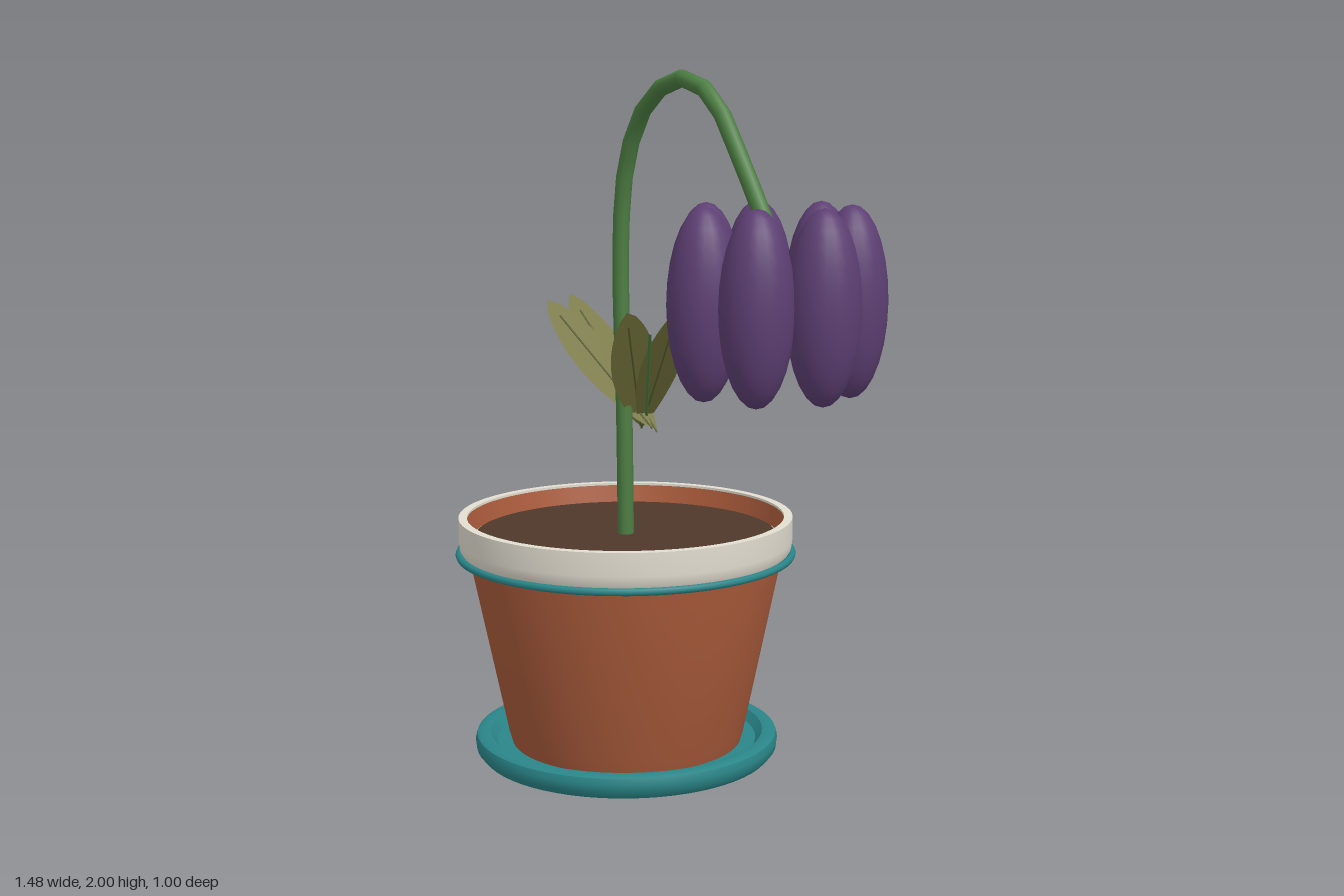
import * as THREE from 'three';
import { toCreasedNormals } from 'three/addons/utils/BufferGeometryUtils.js';

const POT_X = -0.245;
const mat = (color, side = THREE.FrontSide) => new THREE.MeshStandardMaterial({ color, side });
const V = (x, y, z) => new THREE.Vector3(x, y, z);

const teal = mat(0x2a8588);
const clay = mat(0xa85a3a);
const cream = mat(0xe2ddd0);
const soilMat = mat(0x4f382b);
const stemMat = mat(0x4c7d42);
const leafMat = mat(0x77773f, THREE.DoubleSide);
const veinMat = mat(0x55602f);
const petalMat = mat(0x5d3f73);

function add(parent, name, geometry, material) {
  const mesh = new THREE.Mesh(geometry, material);
  mesh.name = name;
  parent.add(mesh);
  return mesh;
}

// Turned part from [radius, y] pairs, with sharp edges kept
function turned(profile) {
  const pts = profile.map(([r, y]) => new THREE.Vector2(r, y));
  return toCreasedNormals(new THREE.LatheGeometry(pts, 64), 0.7);
}

// Egg-shaped blade from base to tip, widest past the middle
function blade(base, tip, halfWidth) {
  const along = tip.clone().sub(base);
  const dir = along.clone().normalize();
  const across = V(0, 0, 1).addScaledVector(dir, -dir.z).normalize();
  const geo = new THREE.PlaneGeometry(2, 1, 4, 18);
  const pos = geo.attributes.position;
  for (let i = 0; i < pos.count; i++) {
    const t = pos.getY(i) + 0.5;
    const w = halfWidth * Math.sin(Math.PI * Math.pow(t, 1.2)) ** 0.65 || 0;
    const p = base.clone().addScaledVector(along, t).addScaledVector(across, pos.getX(i) * w);
    pos.setXYZ(i, p.x, p.y, p.z);
  }
  geo.computeVertexNormals();
  return geo;
}

const rod = (a, b, r) => new THREE.TubeGeometry(new THREE.LineCurve3(a, b), 1, r, 6);

export function createModel() {
  const model = new THREE.Group();
  model.name = 'pottedFlower';

  // Pot, saucer, rim and soil share one axis
  const pot = new THREE.Group();
  pot.name = 'pot';
  pot.position.x = POT_X;
  model.add(pot);

  add(pot, 'saucer', turned([
    [0, 0], [0.43, 0], [0.447, 0.02], [0.45, 0.045], [0.445, 0.062], [0.43, 0.07],
    [0.405, 0.066], [0.385, 0.04], [0, 0.035],
  ]), teal);
  add(pot, 'potBody', turned([
    [0, 0.036], [0.34, 0.036], [0.35, 0.07], [0.46, 0.6], [0.466, 0.714], [0.45, 0.65],
  ]), clay);
  add(pot, 'rim', turned([
    [0.455, 0.602], [0.475, 0.606], [0.487, 0.625], [0.49, 0.65], [0.49, 0.717],
    [0.465, 0.717], [0.465, 0.7],
  ]), cream);
  add(pot, 'innerRing', turned([[0.453, 0.655], [0.44, 0.658]]), cream);
  const band = add(pot, 'rimBand', new THREE.TorusGeometry(0.489, 0.011, 8, 64), teal);
  band.rotation.x = Math.PI / 2;
  band.position.y = 0.608;
  const soil = add(pot, 'soil', new THREE.CylinderGeometry(0.443, 0.43, 0.06, 64), soilMat);
  soil.position.y = 0.631;

  // Arching stem
  const path = [
    [-0.245, 0.64], [-0.25, 1.0], [-0.265, 1.5], [-0.24, 1.72], [-0.18, 1.855], [-0.1, 1.935],
    [0.01, 1.977], [0.09, 1.972], [0.19, 1.91], [0.29, 1.775], [0.38, 1.64], [0.45, 1.53],
  ].map(([x, y]) => V(x, y, 0));
  const stemGeo = new THREE.TubeGeometry(new THREE.CatmullRomCurve3(path), 20, 0.024, 10);
  add(model, 'stem', stemGeo, stemMat);
  const end = add(model, 'stemTip', new THREE.SphereGeometry(0.024, 10, 8), stemMat);
  end.position.copy(path[path.length - 1]);

  // Hanging flower: a ring of seven long petals
  const flower = new THREE.Group();
  flower.name = 'flower';
  flower.position.set(0.44, 1.405, 0);
  model.add(flower);
  for (let i = 0; i < 7; i++) {
    const a = (i / 7) * Math.PI * 2;
    const petal = add(flower, 'petal', new THREE.SphereGeometry(1, 20, 14), petalMat);
    petal.scale.set(0.097, 0.253, 0.097);
    petal.position.set(0.2 * Math.cos(a), 0, 0.2 * Math.sin(a));
  }

  // Two mirrored leaves, each of two blades with ribs and a thin stalk
  for (const s of [1, -1]) {
    const leaf = new THREE.Group();
    leaf.name = s > 0 ? 'leftLeaf' : 'rightLeaf';
    leaf.position.x = POT_X;
    model.add(leaf);
    const blades = [
      [V(-0.04 * s, 0.96, -0.085), V(0.275 * s, 1.345, 0.01)],
      [V(-0.03 * s, 0.97, -0.075), V(0.205 * s, 1.34, 0.135)],
    ];
    for (const [base, tip] of blades) {
      add(leaf, 'blade', blade(base, tip, 0.07), leafMat);
      add(leaf, 'midrib', rod(base, base.clone().lerp(tip, 0.88), 0.003), veinMat);
    }
    add(leaf, 'stalk', rod(V(0, 1.0, -0.075), V(0.225 * s, 1.28, 0.07), 0.005), stemMat);
  }

  return model;
}
